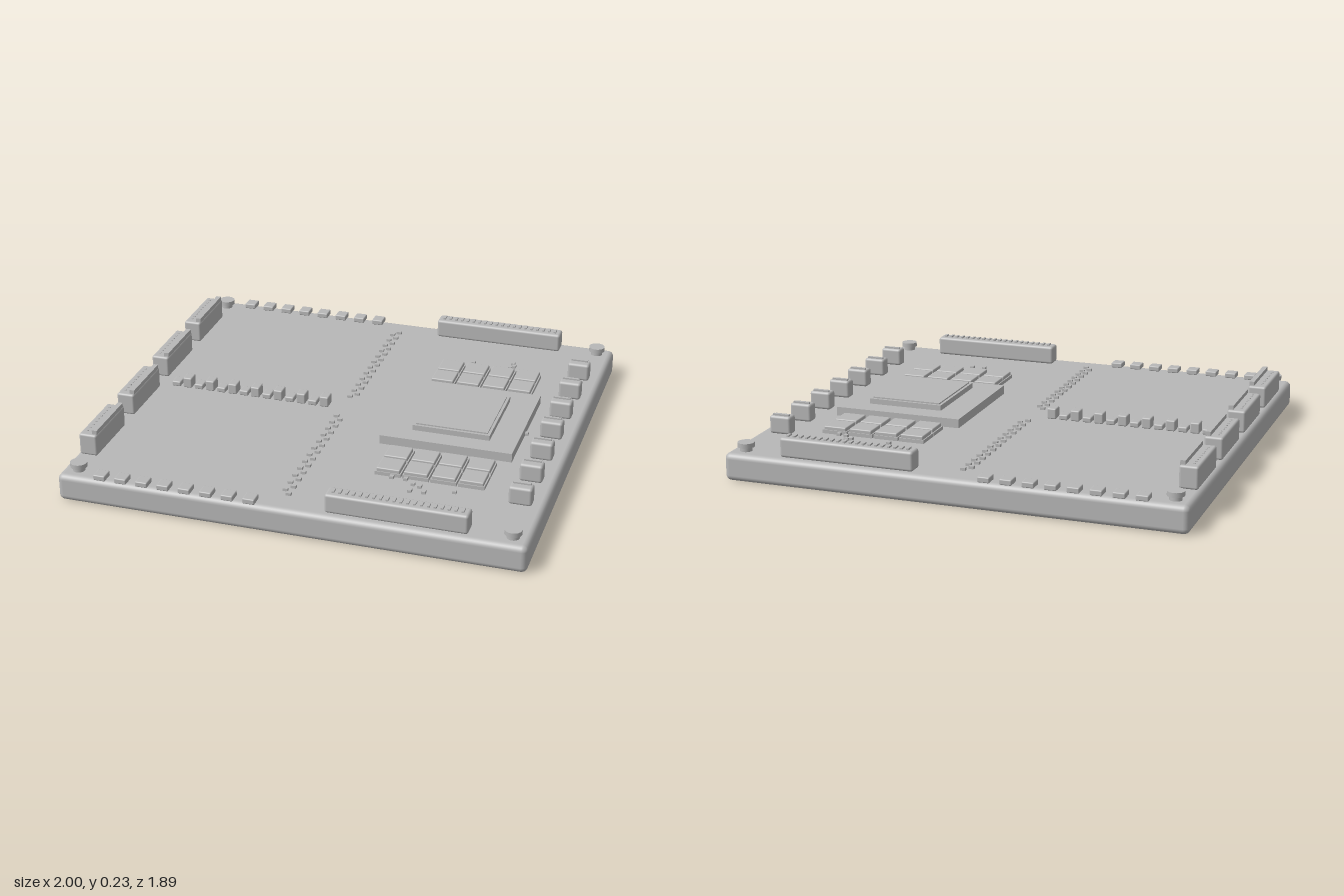
import * as THREE from 'three';
import { RoundedBoxGeometry } from 'three/addons/geometries/RoundedBoxGeometry.js';

const TOP = 0.12; // board surface height

export function createModel() {
  const model = new THREE.Group();
  const grey = new THREE.MeshStandardMaterial({ color: 0xb8b8b8 });
  grey.name = 'plain grey';

  const add = (name, geometry, x, y, z, parent = model) => {
    const mesh = new THREE.Mesh(geometry, grey);
    mesh.name = name;
    mesh.position.set(x, y, z);
    parent.add(mesh);
    return mesh;
  };
  // box given by its centre in plan, its base height and its size
  const box = (name, x, z, w, d, h, base = TOP, parent = model) =>
    add(name, new THREE.BoxGeometry(w, h, d), x, base + h / 2, z, parent);
  const rounded = (name, x, z, w, d, h, r, base = TOP, parent = model) =>
    add(name, new RoundedBoxGeometry(w, h, d, 3, r), x, base + h / 2, z, parent);
  const group = (name) => {
    const g = new THREE.Group();
    g.name = name;
    model.add(g);
    return g;
  };

  // board
  rounded('board', 0, 0, 2, 1.893, TOP, 0.025, 0);

  // corner screws
  for (const sx of [-1, 1]) for (const sz of [-1, 1]) {
    const screw = group('cornerScrew');
    add('screwPost', new THREE.CylinderGeometry(0.026, 0.026, 0.02, 24), sx * 0.928, TOP + 0.01, sz * 0.878, screw);
    add('screwHead', new THREE.CylinderGeometry(0.036, 0.036, 0.02, 24), sx * 0.928, TOP + 0.028, sz * 0.878, screw);
  }

  // pin headers on the front and back edges
  for (const sz of [-1, 1]) {
    const header = group('pinHeader');
    rounded('headerBody', 0.457, sz * 0.88, 0.595, 0.074, 0.085, 0.012, TOP, header);
    for (let i = 0; i < 20; i++) box('headerPin', 0.19 + i * 0.0282, sz * 0.88, 0.01, 0.03, 0.012, 0.2, header);
  }

  // tall sockets on the right-hand edge
  for (const z of [-0.6, -0.2, 0.2, 0.6]) {
    const socket = group('sideSocket');
    rounded('socketBody', -0.943, z, 0.08, 0.3, 0.097, 0.01, TOP, socket);
    box('socketRidge', -0.916, z, 0.022, 0.275, 0.02, 0.215, socket);
    for (let i = -4; i <= 4; i++) box('socketPin', -0.956, z + i * 0.028, 0.007, 0.007, 0.004, 0.216, socket);
  }

  // power blocks on the left-hand edge
  for (let i = -3; i <= 3; i++) {
    const block = group('powerBlock');
    rounded('blockBody', 0.897, i * 0.2, 0.098, 0.058, 0.08, 0.012, TOP, block);
    box('blockRidge', 0.896, i * 0.2 - 0.012, 0.075, 0.012, 0.01, 0.197, block);
  }

  // chips overlapping the front and back edges
  for (const sz of [-1, 1]) for (let i = 0; i < 8; i++) {
    rounded('edgeChip', -0.81 + i * 0.0937, sz * 0.915, 0.052, 0.058, 0.024, 0.005);
  }

  // middle row of alternating low and tall components
  for (let i = 0; i < 14; i++) {
    rounded('rowChip', -0.835 + i * 0.0542, 0, 0.041, 0.055, i % 2 ? 0.048 : 0.024, 0.006);
  }

  // zigzag columns of small resistors
  for (const sz of [-1, 1]) for (let i = 0; i < 24; i++) {
    const x = i % 2 ? -0.022 : -0.047;
    box('resistor', x, sz * (0.1 + i * 0.0313), 0.022, 0.016, 0.012);
  }

  // main processor: substrate, framed lid
  const processor = group('processor');
  box('substrate', 0.495, -0.004, 0.58, 0.574, 0.04, TOP, processor);
  box('lid', 0.497, 0, 0.316, 0.366, 0.03, 0.16, processor);
  for (const s of [-1, 1]) {
    box('lidFrameSide', 0.497 + s * 0.164, 0, 0.012, 0.39, 0.024, 0.16, processor);
    box('lidFrameEnd', 0.497, s * 0.189, 0.316, 0.012, 0.024, 0.16, processor);
  }

  // memory chips, four by two on each side of the processor
  for (const sz of [-1, 1]) for (let r = 0; r < 2; r++) for (let c = 0; c < 4; c++) {
    const chip = group('memoryChip');
    const x = 0.319 + c * 0.119, z = sz * (0.384 + r * 0.113);
    box('chipBase', x, z, 0.112, 0.108, 0.016, TOP, chip);
    rounded('chipBody', x, z, 0.102, 0.1, 0.022, 0.005, TOP + 0.01, chip);
  }

  // loose capacitors beside the memory
  const capacitors = [
    [0.4, -0.603], [0.58, -0.642], [0.575, -0.6], [0.59, -0.615], [0.612, -0.57], [0.65, -0.557],
    [0.34, 0.56], [0.4, 0.56], [0.44, 0.592], [0.472, 0.605], [0.442, 0.65], [0.5, 0.645], [0.62, 0.605],
    [0.79, 0.02],
  ];
  capacitors.forEach(([x, z]) => box('capacitor', x, z, 0.017, 0.02, 0.012));

  return model;
}
